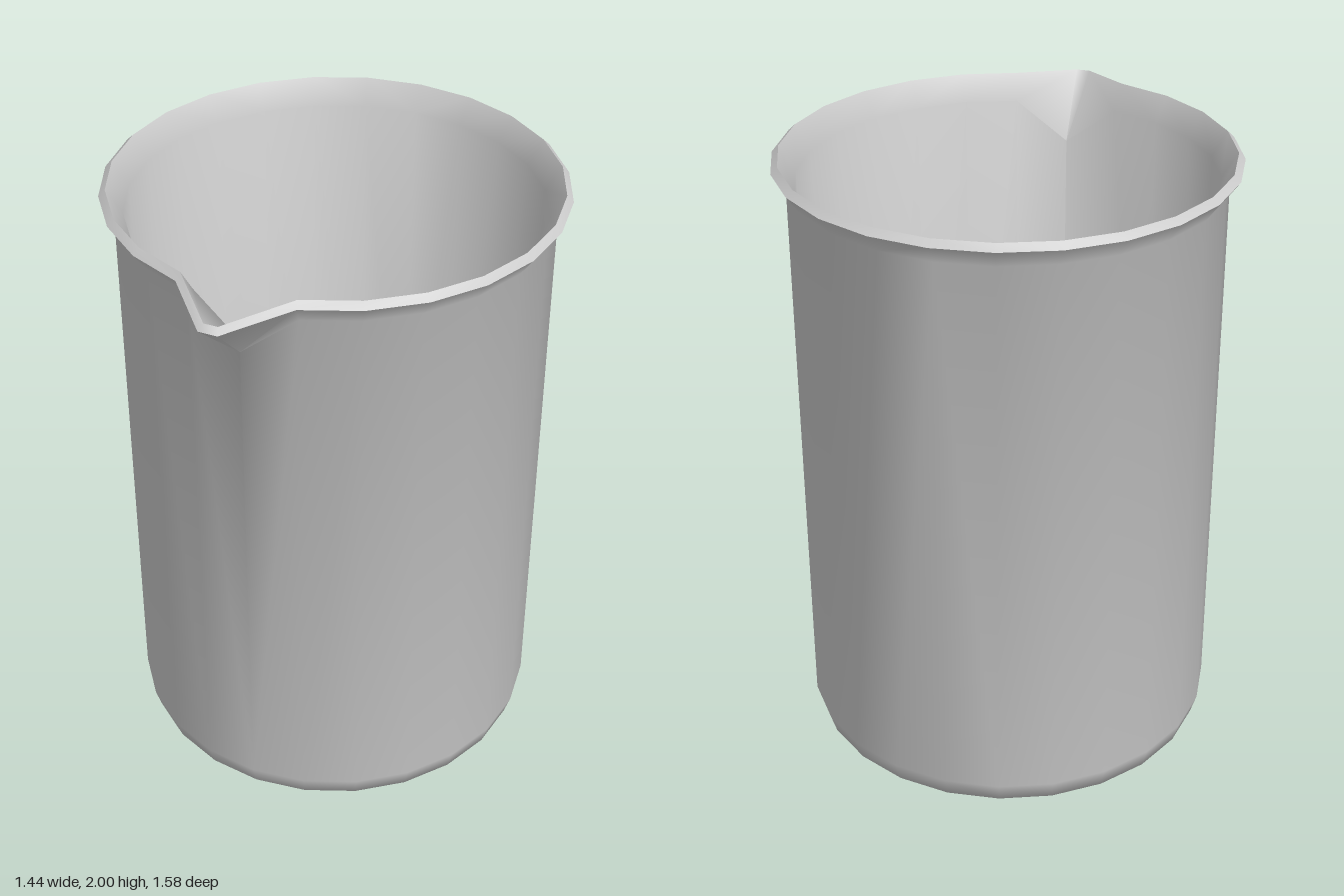
import * as THREE from 'three';
import { toCreasedNormals } from 'three/addons/utils/BufferGeometryUtils.js';

const SIDES = 24;
const AXIS_Z = -0.075; // the spout pushes the cup's axis back

// Section from the outer base centre, up over the rim and down to the inner floor.
// Each ring: r, y, then an optional front point [half width, y, z] that forms the spout.
const RINGS = [
  { r: 0, y: 0 },
  { r: 0.59, y: 0 },
  { r: 0.655, y: 0.025 },
  { r: 0.675, y: 0.09 },
  { r: 0.675, y: 1.92, spout: [0, 1.78, 0.6] },
  { r: 0.718, y: 1.98, spout: [0.03, 1.955, 0.79] },
  { r: 0.697, y: 2.0, spout: [0.022, 1.972, 0.77] },
  { r: 0.648, y: 1.92, spout: [0, 1.79, 0.573] },
  { r: 0.648, y: 0.1 },
  { r: 0.63, y: 0.045 },
  { r: 0.57, y: 0.025 },
  { r: 0, y: 0.025 },
];

// Columns run round the cup; the first and last both sit at the front and split at the lip.
function ringPoint({ r, y, spout }, i) {
  const front = i === 0 || i === SIDES;
  if (front && spout) {
    return new THREE.Vector3(i === 0 ? spout[0] : -spout[0], spout[1], spout[2]);
  }
  const a = ((i % SIDES) / SIDES) * Math.PI * 2;
  return new THREE.Vector3(Math.sin(a) * r, y, Math.cos(a) * r + AXIS_Z);
}

function createCupGeometry() {
  const positions = [];
  const area = new THREE.Triangle();
  const addTriangle = (a, b, c) => {
    area.set(a, b, c);
    if (area.getArea() < 1e-7) return;
    for (const p of [a, b, c]) positions.push(p.x, p.y, p.z);
  };
  for (let k = 0; k < RINGS.length - 1; k++) {
    for (let i = 0; i <= SIDES; i++) {
      const j = (i + 1) % (SIDES + 1); // the last strip closes the spout tip
      const a = ringPoint(RINGS[k], i);
      const b = ringPoint(RINGS[k], j);
      const c = ringPoint(RINGS[k + 1], j);
      const d = ringPoint(RINGS[k + 1], i);
      // mirrored diagonals keep the spout symmetrical
      if (i < SIDES / 2) {
        addTriangle(a, b, c);
        addTriangle(a, c, d);
      } else {
        addTriangle(a, b, d);
        addTriangle(b, c, d);
      }
    }
  }
  const geometry = new THREE.BufferGeometry();
  geometry.setAttribute('position', new THREE.Float32BufferAttribute(positions, 3));
  return toCreasedNormals(geometry, 1.05);
}

export function createModel() {
  const group = new THREE.Group();
  group.name = 'beaker';
  const cup = new THREE.Mesh(
    createCupGeometry(),
    new THREE.MeshStandardMaterial({ color: 0xcccccc }),
  );
  cup.name = 'cupWithSpout';
  group.add(cup);
  return group;
}
